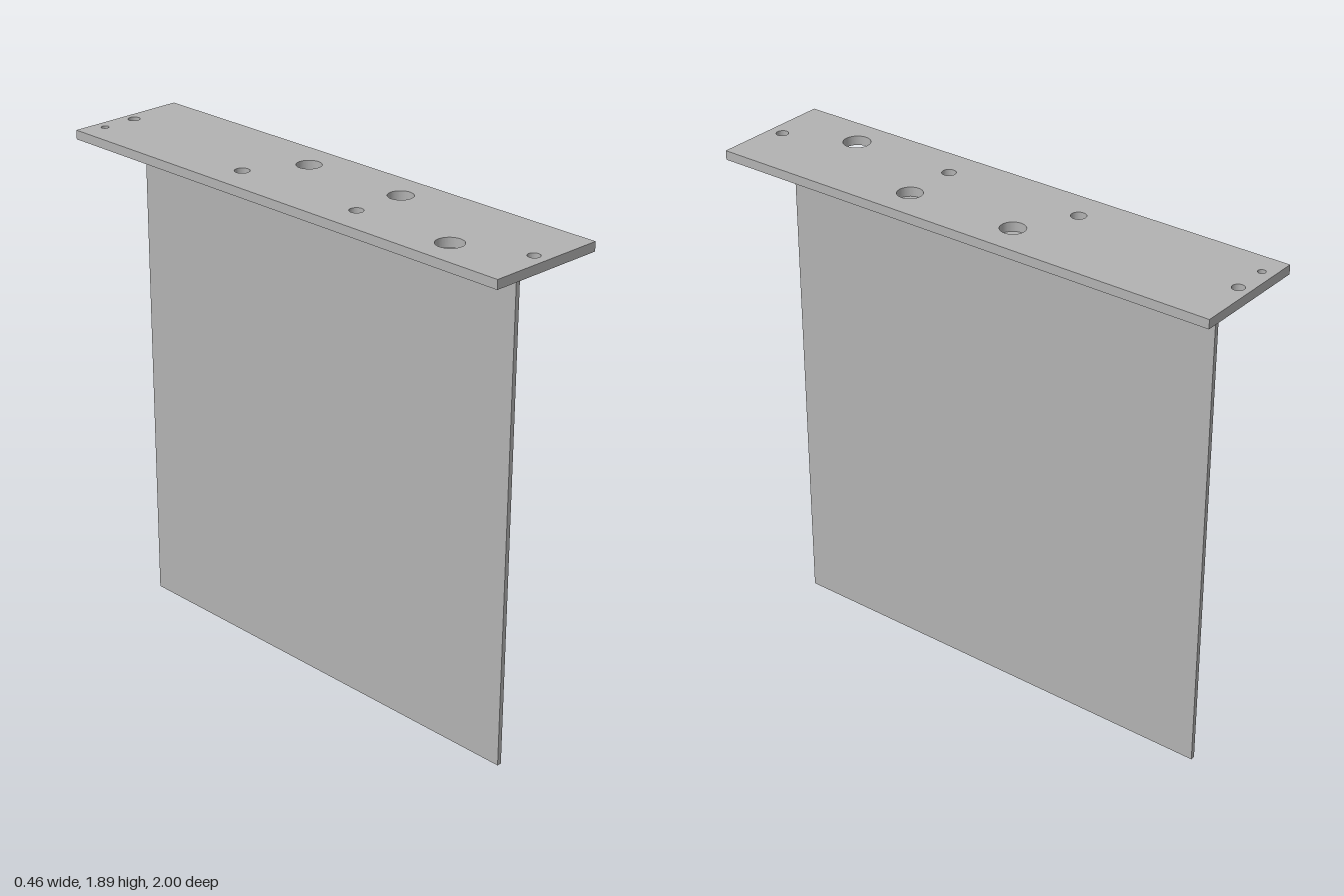
import * as THREE from 'three';

const HALF_W = 0.23, HALF_L = 1, TOP = 1.892, PLATE_T = 0.034;
const SHEET_T = 0.017, SHEET_HALF_L = 0.885, FLANGE_X = 0.145;

export function createModel() {
  const group = new THREE.Group();
  const metal = new THREE.MeshStandardMaterial({ color: 0xb2b2b2 });
  metal.name = 'grey metal';

  // Mounting plate, drawn as x/z outline and extruded downwards
  const outline = new THREE.Shape([
    new THREE.Vector2(-HALF_W, -HALF_L), new THREE.Vector2(HALF_W, -HALF_L),
    new THREE.Vector2(HALF_W, HALF_L), new THREE.Vector2(-HALF_W, HALF_L),
  ]);
  // Drilled holes: x, z, radius
  const holes = [
    [0, -0.955, 0.022], [-0.135, -0.955, 0.014], [0, 0.945, 0.022],
    [-0.105, -0.267, 0.027], [-0.105, 0.278, 0.025], [-0.105, 0.69, 0.049],
    [0.1, -0.153, 0.045], [0.1, 0.28, 0.045],
  ];
  for (const [x, z, r] of holes) {
    outline.holes.push(new THREE.Path().absarc(x, z, r, 0, Math.PI * 2, true));
  }
  const plateGeo = new THREE.ExtrudeGeometry(outline, {
    depth: PLATE_T, bevelEnabled: false, curveSegments: 32,
  });
  plateGeo.rotateX(Math.PI / 2).translate(0, TOP, 0);
  const plate = new THREE.Mesh(plateGeo, metal);
  plate.name = 'mountingPlate';
  group.add(plate);

  // Bent sheet: tall web with a short flange under the plate
  const bend = TOP - PLATE_T, h = SHEET_T / 2;
  const profile = new THREE.Shape([
    new THREE.Vector2(-h, 0), new THREE.Vector2(h, 0),
    new THREE.Vector2(h, bend - SHEET_T), new THREE.Vector2(FLANGE_X, bend - SHEET_T),
    new THREE.Vector2(FLANGE_X, bend), new THREE.Vector2(-h, bend),
  ]);
  const sheetGeo = new THREE.ExtrudeGeometry(profile, {
    depth: SHEET_HALF_L * 2, bevelEnabled: false,
  });
  sheetGeo.translate(0, 0, -SHEET_HALF_L);
  const sheet = new THREE.Mesh(sheetGeo, metal);
  sheet.name = 'flangedSheet';
  group.add(sheet);

  return group;
}
